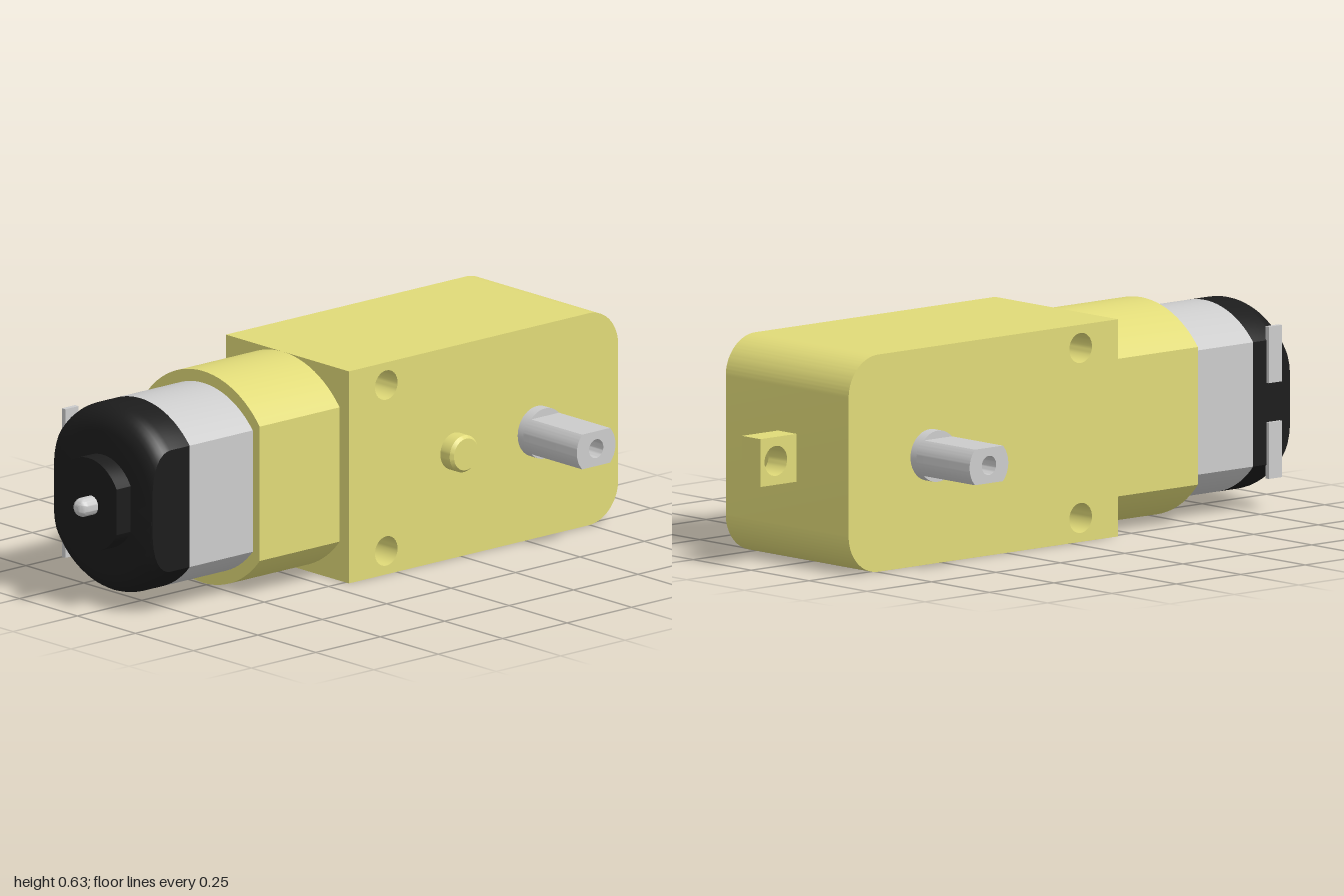
import * as THREE from 'three';
import { toCreasedNormals } from 'three/addons/utils/BufferGeometryUtils.js';

const yellow = new THREE.MeshStandardMaterial({ color: 0xe0da78 });
const black = new THREE.MeshStandardMaterial({ color: 0x1c1c1c });
const grey = new THREE.MeshStandardMaterial({ color: 0xcccccc });
const MID = 0.32; // height of the shared axis

// Sweep along x of a circle with both z sides cut flat; profile = [x, radius], half = flat distance
function flattedLoft(profile, half = 9, seg = 24) {
  const pos = [], idx = [], n = 2 * (seg + 1);
  for (const [x, r] of profile) {
    const a = r > half ? Math.asin(half / r) : Math.PI / 2;
    for (const base of [0, Math.PI]) {
      for (let k = 0; k <= seg; k++) {
        const t = base - a + (2 * a * k) / seg;
        pos.push(x, r * Math.cos(t), r * Math.sin(t));
      }
    }
  }
  for (let i = 0; i < profile.length - 1; i++) {
    for (let j = 0; j < n; j++) {
      const k = (j + 1) % n;
      const a = i * n + j, b = i * n + k, c = b + n, d = a + n;
      idx.push(a, b, c, a, c, d);
    }
  }
  const g = new THREE.BufferGeometry();
  g.setAttribute('position', new THREE.Float32BufferAttribute(pos, 3));
  g.setIndex(idx);
  return toCreasedNormals(g, 0.5);
}

// Plate outline extruded evenly about z = 0
function plate(shape, depth) {
  const g = new THREE.ExtrudeGeometry(shape, { depth, bevelEnabled: false, curveSegments: 16 });
  g.translate(0, 0, -depth / 2);
  return toCreasedNormals(g, 0.5);
}

function addHole(shape, x, y, r) {
  shape.holes.push(new THREE.Path().absarc(x, y, r, 0, Math.PI * 2, true));
}

export function createModel() {
  const model = new THREE.Group();
  model.name = 'gearMotor';
  const add = (name, geometry, material, x = 0, y = 0, z = 0) => {
    const mesh = new THREE.Mesh(geometry, material);
    mesh.name = name;
    mesh.position.set(x, y, z);
    model.add(mesh);
    return mesh;
  };

  // Gearbox housing, rounded at the far end, with two screw holes
  const L = -0.185, R = 0.86, H = 0.635, c = 0.115;
  const box = new THREE.Shape();
  box.moveTo(L, 0);
  box.lineTo(R - c, 0);
  box.absarc(R - c, c, c, -Math.PI / 2, 0, false);
  box.lineTo(R, H - c);
  box.absarc(R - c, H - c, c, 0, Math.PI / 2, false);
  box.lineTo(L, H);
  box.closePath();
  for (const y of [0.07, 0.567]) addHole(box, -0.04, y, 0.044);
  add('gearboxHousing', plate(box, 0.53), yellow);

  // Mounting tab with its hole
  const tab = new THREE.Shape();
  tab.moveTo(0.85, 0.248);
  tab.lineTo(1, 0.248);
  tab.lineTo(1, 0.388);
  tab.lineTo(0.85, 0.388);
  tab.closePath();
  addHole(tab, 0.94, 0.318, 0.044);
  add('mountingTab', plate(tab, 0.08), yellow);

  // Locating peg on the front
  const peg = flattedLoft([[0.25, 0], [0.25, 0.055], [0.305, 0.055], [0.315, 0.047], [0.315, 0]]);
  peg.rotateY(-Math.PI / 2);
  add('locatingPeg', peg, yellow, 0.225, MID);

  // Output axle: round collar, flatted ends with blind holes
  const collar = new THREE.CylinderGeometry(0.075, 0.075, 0.6, 48);
  collar.rotateX(Math.PI / 2);
  add('axleCollar', collar, grey, 0.545, MID);
  for (const side of [1, -1]) {
    const end = flattedLoft(
      [[0.29, 0], [0.29, 0.075], [0.52, 0.075], [0.52, 0.028], [0.42, 0.028], [0.42, 0]], 0.052);
    end.rotateX(Math.PI / 2);
    end.rotateY(-side * Math.PI / 2);
    add(side > 0 ? 'frontAxleEnd' : 'backAxleEnd', end, grey, 0.545, MID);
  }

  // Motor sleeve and motor can
  add('motorSleeve', flattedLoft([[-0.495, 0], [-0.495, 0.317], [-0.18, 0.317], [-0.18, 0]], 0.245),
    yellow, 0, 0.318, -0.02);
  add('motorCan', flattedLoft([[-0.74, 0], [-0.74, 0.28], [-0.48, 0.28], [-0.48, 0]], 0.213),
    grey, 0, MID, -0.018);

  // End cap with a turned, rounded rim
  const cap = [[-0.885, 0]];
  for (let i = 0; i <= 8; i++) {
    const t = (i / 8) * Math.PI / 2;
    cap.push([-0.815 - 0.07 * Math.cos(t), 0.21 + 0.07 * Math.sin(t)]);
  }
  cap.push([-0.74, 0.28], [-0.74, 0]);
  add('endCap', flattedLoft(cap, 0.213), black, 0, MID, -0.018);
  add('bearingBoss', flattedLoft([[-0.94, 0], [-0.94, 0.138], [-0.88, 0.138], [-0.88, 0]], 0.12),
    black, 0, MID, -0.018);

  // Rounded stub of the motor shaft
  const stub = [];
  for (let i = 0; i <= 6; i++) {
    const t = (i / 6) * Math.PI / 2;
    stub.push([-0.975 - 0.025 * Math.cos(t), 0.028 * Math.sin(t)]);
  }
  stub.push([-0.93, 0.028], [-0.93, 0]);
  add('motorShaft', flattedLoft(stub), grey, 0, MID, -0.005);

  // Pair of electrical terminals on the back of the cap
  for (const s of [1, -1]) {
    add(s > 0 ? 'upperTerminal' : 'lowerTerminal',
      new THREE.BoxGeometry(0.052, 0.165, 0.015), grey, -0.817, MID + s * 0.14, -0.234);
  }
  return model;
}
